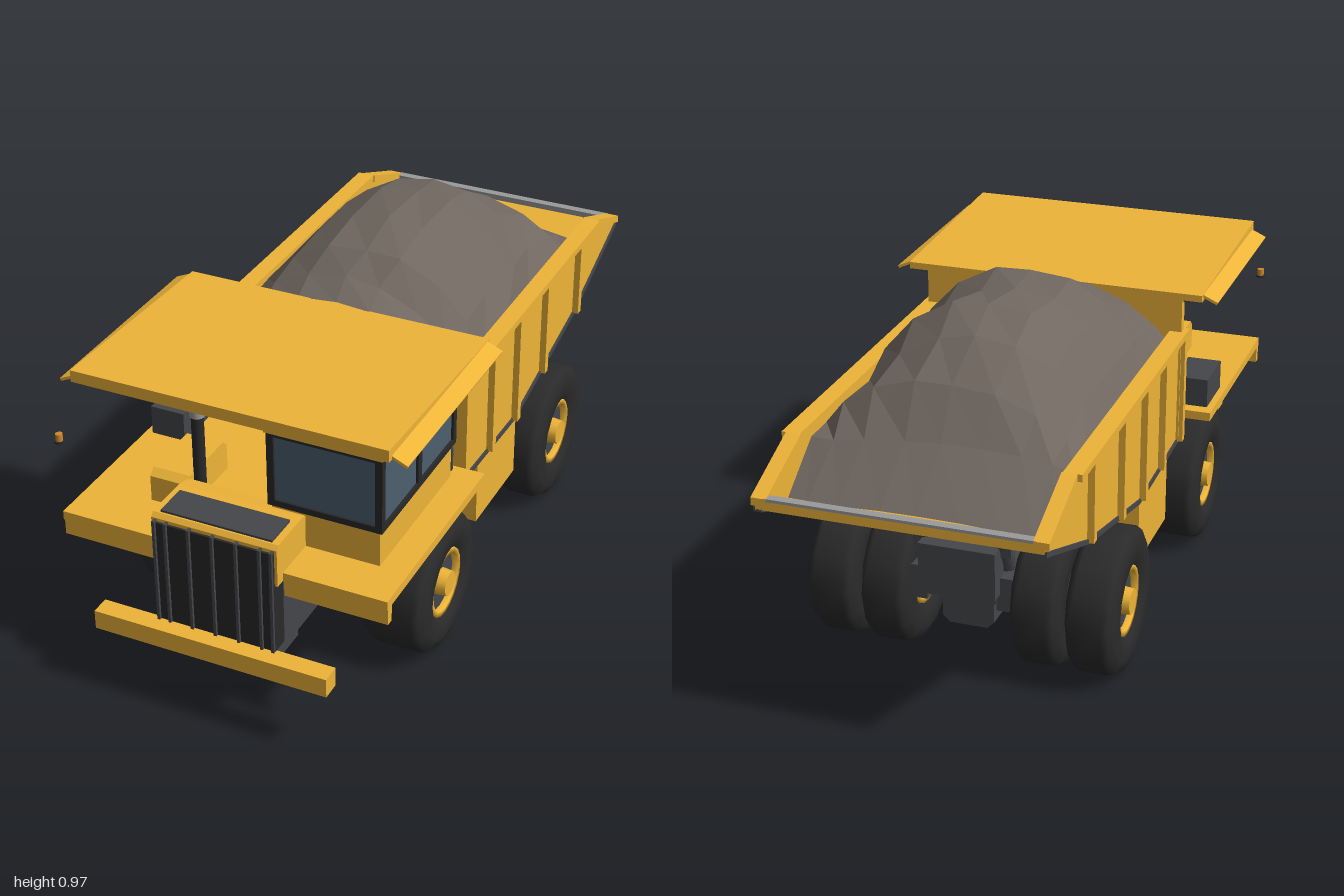
import * as THREE from 'three';

const paint = (color, extra = {}) => new THREE.MeshStandardMaterial({ color, ...extra });
const YELLOW = paint(0xeeb438), DARK = paint(0x45464a), BLACK = paint(0x29292b);
const GLASS = paint(0x4d5f6e), STEEL = paint(0x9a9a9a), RUBBER = paint(0x2b2b2b);
const SOIL = paint(0x706760, { flatShading: true, side: THREE.DoubleSide });
const SHEET = paint(0xeeb438, { side: THREE.DoubleSide });

export function createModel() {
  const root = new THREE.Group();
  root.name = 'dumpTruck';

  const add = (name, geo, mat, parent = root) => {
    const m = new THREE.Mesh(geo, mat);
    m.name = name;
    parent.add(m);
    return m;
  };
  // box given by its limits
  const box = (name, mat, x0, x1, y0, y1, z0, z1) => {
    const g = new THREE.BoxGeometry(x1 - x0, y1 - y0, z1 - z0);
    g.translate((x0 + x1) / 2, (y0 + y1) / 2, (z0 + z1) / 2);
    return add(name, g, mat);
  };
  const pair = (name, mat, x0, x1, ...rest) => {
    box(name + 'Left', mat, x0, x1, ...rest);
    box(name + 'Right', mat, -x1, -x0, ...rest);
  };
  const extrude = (pts, depth) => new THREE.ExtrudeGeometry(
    new THREE.Shape(pts.map(p => new THREE.Vector2(...p))), { depth, bevelEnabled: false });
  // side profile of [z, y] points, extruded from x0 to x1
  const slab = (name, mat, pts, x0, x1) =>
    add(name, extrude(pts, x1 - x0).rotateY(-Math.PI / 2).translate(x1, 0, 0), mat);
  const slabPair = (name, mat, pts, x0, x1) => {
    slab(name + 'Left', mat, pts, x0, x1);
    slab(name + 'Right', mat, pts, -x1, -x0);
  };
  const rod = (name, mat, r, a, b, sides = 10) => {
    const va = new THREE.Vector3(...a), vb = new THREE.Vector3(...b);
    const m = add(name, new THREE.CylinderGeometry(r, r, va.distanceTo(vb), sides), mat);
    m.position.copy(va).lerp(vb, 0.5);
    m.quaternion.setFromUnitVectors(new THREE.Vector3(0, 1, 0), vb.sub(va).normalize());
  };

  // ---- wheels: lathed tyre, rim rings, dish and hub, outer face away from the truck
  const wheel = (name, x, z, r, w) => {
    const g = new THREE.Group();
    g.name = name;
    const h = w / 2;
    const lathe = (part, pts, mat, n) => {
      const geo = new THREE.LatheGeometry(pts.map(p => new THREE.Vector2(...p)), n);
      add(part, geo.rotateZ(-Math.PI / 2), mat, g);
    };
    lathe('tyre', [[0.095, -h + 0.02], [0.12, -h], [r - 0.04, -h], [r - 0.01, -h + 0.012], [r, -h + 0.03],
      [r, h - 0.03], [r - 0.01, h - 0.012], [r - 0.04, h], [0.12, h], [0.095, h - 0.02]], RUBBER, 14);
    for (const s of [-1, 1]) {
      const e = s * (h - 0.012);
      lathe('rim', [[0.084, e - s * 0.02], [0.084, e], [0.1, e], [0.1, e - s * 0.02]], SHEET, 20);
    }
    const dish = add('dish', new THREE.CylinderGeometry(0.086, 0.086, w - 0.06, 20), [DARK, DARK, YELLOW], g);
    dish.rotation.z = -Math.PI / 2;
    const hub = add('hub', new THREE.CylinderGeometry(0.036, 0.04, 0.04, 12), YELLOW, g);
    hub.rotation.z = -Math.PI / 2;
    hub.position.x = h - 0.02;
    g.position.set(x, 0.21, z);
    if (x < 0) g.rotation.y = Math.PI;
    root.add(g);
  };
  for (const s of [-1, 1]) {
    wheel('frontWheel', s * 0.345, 0.436, 0.202, 0.19);
    wheel('rearOuterWheel', s * 0.37, -0.412, 0.21, 0.14);
    wheel('rearInnerWheel', s * 0.215, -0.412, 0.21, 0.14);
  }

  // ---- chassis
  pair('frameRail', DARK, 0.1, 0.15, 0.2, 0.3, -0.56, 0.87);
  for (const z of [-0.54, -0.2, 0.05, 0.28]) box('crossMember', DARK, -0.1, 0.1, 0.22, 0.29, z - 0.025, z + 0.025);
  box('rearFrameBlock', DARK, -0.11, 0.11, 0.25, 0.39, -0.6, -0.53);
  pair('bodyPivot', DARK, 0.1, 0.14, 0.36, 0.48, -0.555, -0.53);
  box('engine', DARK, -0.15, 0.15, 0.28, 0.465, 0.3, 0.86);
  box('radiatorBase', DARK, -0.16, 0.16, 0.2, 0.46, 0.8, 0.92);
  box('engineSump', DARK, -0.16, 0.16, 0.15, 0.22, 0.4, 0.48);
  rod('frontAxle', DARK, 0.035, [-0.3, 0.21, 0.436], [0.3, 0.21, 0.436]);
  rod('rearAxle', DARK, 0.06, [-0.36, 0.21, -0.412], [0.36, 0.21, -0.412]);
  add('differential', extrude([[-0.055, 0.11], [0.055, 0.11], [0.075, 0.13], [0.075, 0.31], [-0.075, 0.31],
    [-0.075, 0.13]], 0.2).translate(0, 0, -0.51), DARK);
  rod('driveShaft', DARK, 0.025, [0, 0.235, 0.35], [0, 0.235, -0.35]);
  box('driveBearing', DARK, -0.05, 0.05, 0.155, 0.25, -0.02, 0.03);
  for (const s of [-1, 1]) {
    rod('frontStrut', DARK, 0.03, [s * 0.21, 0.16, 0.44], [s * 0.21, 0.46, 0.44]);
    rod('rearStrut', DARK, 0.025, [s * 0.11, 0.22, -0.45], [s * 0.11, 0.42, -0.55]);
    rod('hoistCylinder', DARK, 0.025, [s * 0.09, 0.25, 0.02], [s * 0.09, 0.42, -0.3]);
  }
  pair('fuelTank', YELLOW, 0.235, 0.385, 0.2, 0.39, -0.17, 0.12);
  pair('tankBracket', DARK, 0.14, 0.24, 0.23, 0.3, -0.1, 0.06);

  // ---- front deck and bumper
  box('deckPlate', YELLOW, -0.47, 0.47, 0.458, 0.484, 0.28, 0.915);
  pair('deckFrontLip', YELLOW, 0.18, 0.47, 0.41, 0.458, 0.888, 0.91);
  box('bumper', YELLOW, -0.34, 0.34, 0.2, 0.256, 0.945, 1.0);
  pair('bumperArm', DARK, 0.1, 0.15, 0.2, 0.25, 0.85, 0.95);

  // ---- hood, radiator grille, exhaust and deck equipment
  slab('hood', YELLOW, [[0.945, 0.46], [0.945, 0.57], [0.935, 0.582], [0.8, 0.582], [0.75, 0.57], [0.75, 0.46]], -0.18, 0.18);
  box('radiator', BLACK, -0.172, 0.172, 0.255, 0.56, 0.9, 0.952);
  for (const x of [-0.168, -0.135, -0.068, 0, 0.068, 0.135, 0.168])
    box('grilleBar', DARK, x - 0.004, x + 0.004, 0.255, 0.568, 0.945, 0.96);
  box('hoodVent', DARK, -0.16, 0.16, 0.575, 0.588, 0.83, 0.93);
  rod('exhaustPipe', BLACK, 0.017, [-0.162, 0.48, 0.72], [-0.162, 0.755, 0.72], 12);
  rod('exhaustTip', STEEL, 0.021, [-0.162, 0.752, 0.72], [-0.162, 0.777, 0.72], 12);
  slab('airTank', YELLOW, [[0.55, 0.48], [0.77, 0.48], [0.77, 0.56], [0.75, 0.578], [0.57, 0.578], [0.55, 0.56]], -0.285, -0.175);
  box('batteryBox', DARK, -0.45, -0.348, 0.484, 0.57, 0.32, 0.48);
  rod('beacon', paint(0xd08a2a), 0.01, [-0.468, 0.7, 0.905], [-0.468, 0.721, 0.905]);
  rod('beaconBase', BLACK, 0.015, [-0.468, 0.696, 0.905], [-0.468, 0.701, 0.905]);

  // ---- cab
  box('cabBase', YELLOW, 0.085, 0.39, 0.484, 0.6, 0.33, 0.785);
  box('cabGlass', GLASS, 0.085, 0.392, 0.6, 0.8, 0.325, 0.785);
  box('cabSill', BLACK, 0.076, 0.399, 0.588, 0.606, 0.317, 0.792);
  box('cabHeader', BLACK, 0.076, 0.399, 0.797, 0.81, 0.317, 0.792);
  for (const x of [0.076, 0.379]) {
    for (const z of [0.317, 0.772]) box('cabPillar', BLACK, x, x + 0.02, 0.6, 0.8, z, z + 0.02);
    box('doorPillar', BLACK, x, x + 0.02, 0.6, 0.8, 0.545, 0.568);
  }
  box('cabRoof', YELLOW, 0.072, 0.402, 0.808, 0.822, 0.312, 0.797);
  box('cabGrab', DARK, 0.38, 0.392, 0.5, 0.57, 0.318, 0.33);

  // ---- dump body: side walls, floor, front wall, rails and ribs
  const under = [[0.25, 0.405], [-0.17, 0.39], [-0.65, 0.5], [-1, 0.635]];
  const band = (lo, hi) => [...under.map(([z, y]) => [z, y + lo]), ...under.map(([z, y]) => [z, y + hi]).reverse()];
  slabPair('bodySide', YELLOW, [...under, [-1, 0.66], [-0.78, 0.745], [0.25, 0.745]], 0.36, 0.383);
  slab('bodyFloor', YELLOW, band(0, 0.025), -0.365, 0.365);
  slabPair('bodySkid', DARK, band(-0.006, 0.008), 0.365, 0.388);
  slabPair('bodyRail', YELLOW, [[0.25, 0.752], [-0.78, 0.752], [-0.78, 0.732], [0.25, 0.732]], 0.355, 0.406);
  slabPair('tailRail', YELLOW, [[-0.78, 0.752], [-1, 0.667], [-1, 0.645], [-0.78, 0.728]], 0.352, 0.394);
  box('tailLip', STEEL, -0.358, 0.358, 0.64, 0.668, -1, -0.975);
  const ribs = [[0.238, 0.405], [0.04, 0.4], [-0.152, 0.392], [-0.37, 0.436], [-0.645, 0.5]];
  for (const [z, y] of ribs) pair('bodyRib', YELLOW, 0.38, 0.402, y, 0.735, z - 0.012, z + 0.012);
  box('bodyFrontWall', YELLOW, -0.39, 0.39, 0.405, 0.87, 0.222, 0.25);
  box('frontWallRail', YELLOW, -0.406, 0.406, 0.735, 0.752, 0.23, 0.258);
  pair('bodySubframe', DARK, 0.1, 0.15, 0.37, 0.41, -0.2, 0.22);

  // ---- canopy over the cab
  slab('canopy', YELLOW, [[0.86, 0.892], [0.222, 0.87], [0.222, 0.85], [0.83, 0.87], [0.83, 0.858], [0.86, 0.858]], -0.448, 0.448);
  box('canopyBeam', DARK, -0.446, 0.446, 0.841, 0.858, 0.235, 0.265);
  for (const s of [-1, 1]) {
    const flare = add('canopyFlare', new THREE.BoxGeometry(0.05, 0.008, 0.61), YELLOW);
    flare.position.set(s * 0.467, 0.856, 0.54);
    flare.rotation.z = -s * 0.42;
  }
  slabPair('canopyBracket', YELLOW, [[0.25, 0.755], [0.25, 0.785], [0.305, 0.85], [0.335, 0.85]], 0.343, 0.363);

  // ---- heaped load: a coarse grid lifted to a ridge line and rounded across
  const ridge = [[0.225, 0.877], [0.15, 0.915], [0.04, 0.955], [-0.13, 0.97], [-0.31, 0.98], [-0.45, 0.948],
    [-0.6, 0.86], [-0.7, 0.745], [-0.87, 0.615]];
  const across = [-1, -0.85, -0.62, -0.32, 0, 0.28, 0.6, 0.84, 1];
  const heap = new THREE.PlaneGeometry(1, 1, across.length - 1, ridge.length - 1);
  const p = heap.attributes.position;
  ridge.forEach(([z, top], j) => across.forEach((u, k) => {
    const i = j * across.length + k, inner = Math.abs(u) < 1 && j > 0 && j < ridge.length - 1;
    const n = inner ? Math.sin(i * 12.9) : 0;
    const base = Math.min(0.71, top - 0.02);
    p.setXYZ(i, u * 0.361 + n * 0.012, base + (top - base) * (1 - Math.abs(u) ** 2.4) + (u ? n * 0.008 : 0), z + n * 0.012);
  }));
  // winding runs front to back, so the sheet is turned over to face up
  heap.index.array.reverse();
  heap.computeVertexNormals();
  add('load', heap, SOIL);

  return root;
}
